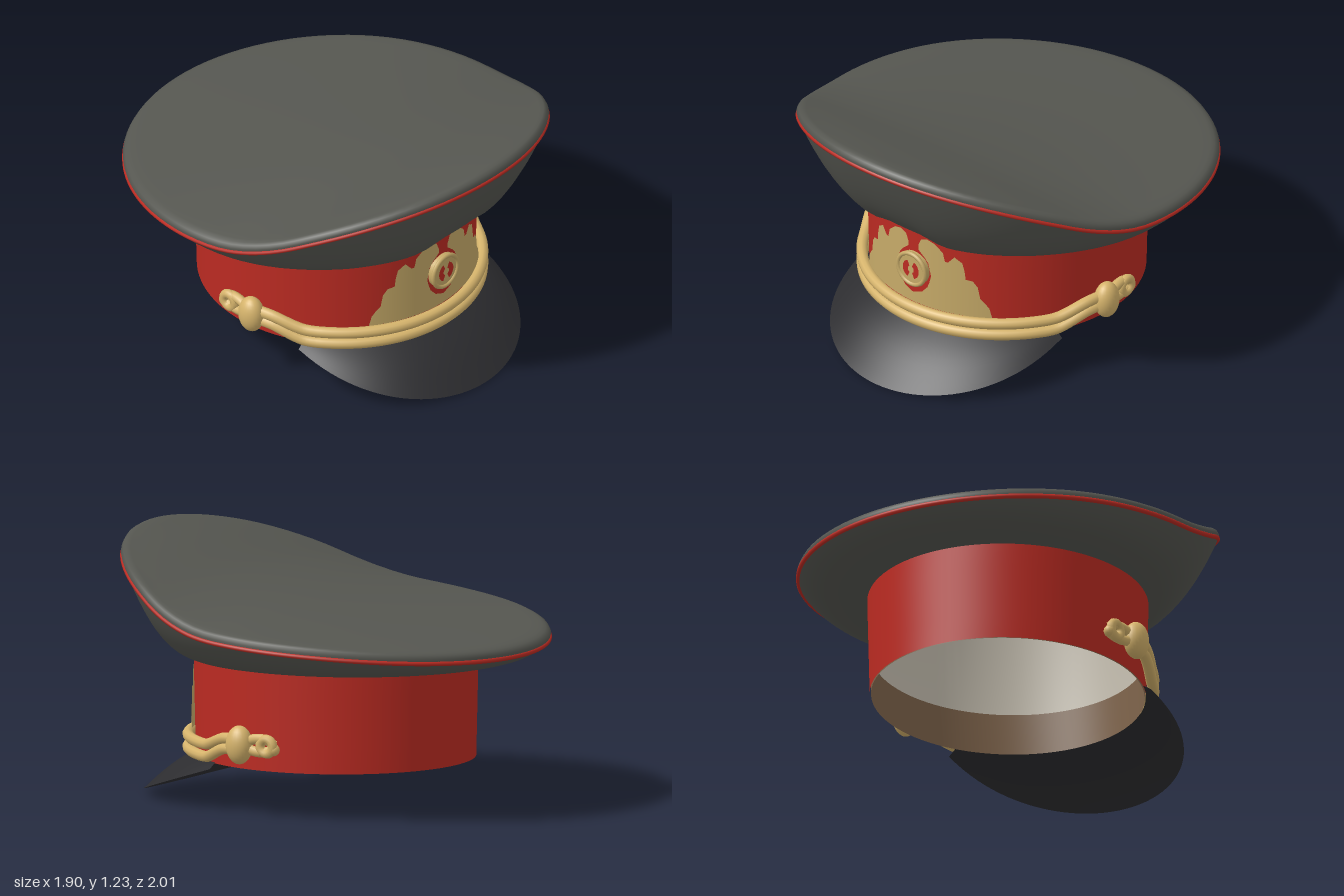
import * as THREE from 'three';
import { mergeVertices } from 'three/addons/utils/BufferGeometryUtils.js';

const mat = (name, color, side = THREE.FrontSide) => {
  const m = new THREE.MeshStandardMaterial({ color, side });
  m.name = name;
  return m;
};

// Smooth curve y(x) through a few points sorted by x
function curve(p) {
  const slope = (i) => {
    const a = p[Math.max(i - 1, 0)], b = p[Math.min(i + 1, p.length - 1)];
    return (b[1] - a[1]) / (b[0] - a[0]);
  };
  return (x) => {
    if (x <= p[0][0]) return p[0][1];
    if (x >= p[p.length - 1][0]) return p[p.length - 1][1];
    let i = 0;
    while (x > p[i + 1][0]) i++;
    const h = p[i + 1][0] - p[i][0], t = (x - p[i][0]) / h;
    const t2 = t * t, t3 = t2 * t;
    return (2 * t3 - 3 * t2 + 1) * p[i][1] + (t3 - 2 * t2 + t) * h * slope(i)
      + (3 * t2 - 2 * t3) * p[i + 1][1] + (t3 - t2) * h * slope(i + 1);
  };
}

// Straight-line version, for jagged outlines
function jagged(p) {
  return (x) => {
    let i = 0;
    while (i < p.length - 2 && x > p[i + 1][0]) i++;
    const t = THREE.MathUtils.clamp((x - p[i][0]) / (p[i + 1][0] - p[i][0]), 0, 1);
    return p[i][1] + t * (p[i + 1][1] - p[i][1]);
  };
}

// Smooth surface over a grid of points f(i, j)
function grid(nu, nv, f) {
  const pos = [], index = [];
  for (let j = 0; j <= nv; j++) for (let i = 0; i <= nu; i++) pos.push(...f(i, j));
  for (let j = 0; j < nv; j++) for (let i = 0; i < nu; i++) {
    const a = j * (nu + 1) + i, d = a + nu + 1;
    index.push(a, a + 1, d + 1, a, d + 1, d);
  }
  let g = new THREE.BufferGeometry();
  g.setAttribute('position', new THREE.Float32BufferAttribute(pos, 3));
  g.setIndex(index);
  g = mergeVertices(g, 1e-5);
  g.computeVertexNormals();
  return g;
}

const RX = 0.945, RZ = 1, SEG = 96;
const angle = (i) => ((i % SEG) / SEG) * Math.PI * 2;
// Height of the rim, and of the top along its middle, from back to front
const pipeY = curve([[-1, 0.758], [-0.5, 0.803], [0, 0.842], [0.2, 0.868], [0.4, 0.93], [0.6, 1.022], [0.8, 1.11], [1, 1.19]]);
const midY = curve([[-1, 0.808], [-0.9, 0.822], [-0.4, 0.885], [0, 0.952], [0.4, 1.05], [0.75, 1.175], [0.96, 1.24]]);
const topY = (x, z) => {
  const xm2 = RX * RX * Math.max(1 - z * z, 1e-6);
  const k = Math.max(0, 1 - (x * x) / xm2);
  return THREE.MathUtils.lerp(pipeY(z) + 0.048, midY(z), k);
};
const bandTop = (a) => 0.69 + (Math.cos(a) > 0 ? 0.038 * Math.exp(-((Math.sin(a) / 0.24) ** 4)) : 0);

export function createModel() {
  const cap = new THREE.Group();
  cap.name = 'peakedCap';
  const cloth = mat('greyCloth', 0x565751);
  const red = mat('redCloth', 0xbc2b22);
  const gold = mat('goldCord', 0xd6b46c);
  const foil = mat('goldEmbroidery', 0xc6aa68, THREE.DoubleSide);
  const black = mat('blackVisor', 0x2c2c2f, THREE.DoubleSide);
  const brown = mat('brownLeather', 0x80654c, THREE.DoubleSide);
  const pale = mat('paleLining', 0xc9c2b3, THREE.DoubleSide);
  const add = (name, geo, m, parent = cap) => {
    const mesh = new THREE.Mesh(geo, m);
    mesh.name = name;
    parent.add(mesh);
    return mesh;
  };

  // Crown: flared underside, rounded rim, swept top
  const UNDER = 16, TOP = 20;
  const rim = [[1, 0.02], [0.99, 0.038], [0.975, 0.046]];
  add('crown', grid(SEG, UNDER + rim.length + TOP, (i, j) => {
    const a = angle(i), s = Math.sin(a), c = Math.cos(a);
    if (j <= UNDER) {
      const r = 1 - (1 - j / UNDER) ** 2;
      const h = r ** (c > 0 ? 2.9 - 1.1 * c : 2.9 - 1.6 * c);
      const y0 = bandTop(a);
      return [s * THREE.MathUtils.lerp(0.633, RX * 0.995, r), y0 + (pipeY(c) - y0) * h, c * THREE.MathUtils.lerp(0.658, RZ * 0.995, r)];
    }
    const k = j - UNDER - 1;
    if (k < rim.length) return [RX * rim[k][0] * s, pipeY(c) + rim[k][1], RZ * rim[k][0] * c];
    const q = 0.955 * (1 - (k - rim.length + 1 - 1) / (TOP - 1));
    return [RX * q * s, topY(RX * q * s, q * c), RZ * q * c];
  }), cloth);

  // Red piping along the rim
  const pipePts = Array.from({ length: 64 }, (_, i) => {
    const a = (i / 64) * Math.PI * 2, c = Math.cos(a);
    return new THREE.Vector3(RX * 0.993 * Math.sin(a), pipeY(c), RZ * 0.993 * c);
  });
  add('piping', new THREE.TubeGeometry(new THREE.CatmullRomCurve3(pipePts, true), 160, 0.011, 8, true), red);

  // Band, leather sweatband and lining
  add('band', grid(SEG, 4, (i, j) => {
    const a = angle(i), t = j / 4;
    return [(0.622 + 0.012 * t) * Math.sin(a), 0.222 + (bandTop(a) + 0.005 - 0.222) * t, (0.65 + 0.01 * t) * Math.cos(a)];
  }), red);
  add('sweatband', grid(SEG, 1, (i, j) => [0.616 * Math.sin(angle(i)), 0.222 + 0.2 * j, 0.644 * Math.cos(angle(i))]), brown);
  add('lining', grid(SEG, 10, (i, j) => {
    const q = j < 1 ? 1 : 1 - (j - 1) / 9;
    const x = 0.614 * q * Math.sin(angle(i)), z = 0.642 * q * Math.cos(angle(i));
    return [x, j < 1 ? 0.42 : topY(x, z) - 0.03, z];
  }), pale);

  // Visor: from the band edge down to a wide curved lip
  add('visor', grid(48, 8, (i, j) => {
    const t = 1 - j / 8, k = (i / 48) * 2 - 1;
    const a = k * 1.08, b = k * Math.PI / 2;
    const u = Math.cos(b) ** 0.9;
    const inner = [0.62 * Math.sin(a), 0.228, 0.648 * Math.cos(a)];
    const outer = [0.59 * Math.sin(b), 0.2 - 0.195 * u, 0.31 + 0.62 * u];
    const p = inner.map((v, n) => v + (outer[n] - v) * t);
    p[1] += 0.02 * Math.sin(Math.PI * t) * u;
    return p;
  }), black);

  // Two chin cords, rising to the side buttons
  const cordPath = (low, high) => new THREE.CatmullRomCurve3(Array.from({ length: 41 }, (_, i) => {
    const a = (i / 20 - 1) * 1.43;
    const k = THREE.MathUtils.smoothstep(Math.abs(a), 1.02, 1.34);
    const off = 0.034 + 0.014 * k;
    return new THREE.Vector3((0.622 + off) * Math.sin(a), low + (high - low) * k, (0.652 + off) * Math.cos(a));
  }));
  add('upperCord', new THREE.TubeGeometry(cordPath(0.31, 0.365), 120, 0.026, 10), gold);
  add('lowerCord', new THREE.TubeGeometry(cordPath(0.252, 0.318), 120, 0.026, 10), gold);

  // Side buttons with the knotted cord ends
  for (const side of [1, -1]) {
    const g = new THREE.Group();
    g.name = side > 0 ? 'leftButton' : 'rightButton';
    cap.add(g);
    const button = add('button', new THREE.SphereGeometry(1, 24, 16), gold, g);
    button.scale.set(0.055, 0.09, 0.065);
    button.position.set(side * 0.675, 0.342, 0.095);
    for (const dy of [-0.028, 0.028]) {
      const path = new THREE.CatmullRomCurve3([[0.67, 0.345, 0.09], [0.665, 0.345 + dy, 0.02], [0.66, 0.345 + dy, -0.04], [0.652, 0.34 + dy * 0.3, -0.085]]
        .map(([x, y, z]) => new THREE.Vector3(side * x, y, z)));
      add('cordEnd', new THREE.TubeGeometry(path, 16, 0.024, 8), gold, g);
    }
    const knot = add('knot', new THREE.TorusGeometry(0.034, 0.022, 10, 20), gold, g);
    knot.rotation.y = Math.PI / 2;
    knot.position.set(side * 0.668, 0.345, -0.048);
    const tip = add('cordTip', new THREE.SphereGeometry(0.028, 14, 10), gold, g);
    tip.position.set(side * 0.66, 0.33, -0.083);
  }

  // Embroidered leaf wreath, wrapped on the band
  const leafTop = jagged([[0.03, 0.645], [0.045, 0.68], [0.08, 0.692], [0.12, 0.68], [0.16, 0.645], [0.17, 0.6], [0.185, 0.6], [0.215, 0.635],
    [0.25, 0.61], [0.262, 0.56], [0.265, 0.525], [0.295, 0.52], [0.315, 0.49], [0.325, 0.43], [0.345, 0.405], [0.36, 0.38], [0.37, 0.335]]);
  const gapLow = jagged([[0, 0.38], [0.05, 0.4], [0.085, 0.44], [0.1, 0.5]]);
  const gapHigh = jagged([[0.03, 0.62], [0.065, 0.59], [0.085, 0.565], [0.1, 0.5]]);
  const plate = (side, x0, x1, n, lo, hi) => grid(n, 1, (i, j) => {
    const x = x0 + ((x1 - x0) * i) / n;
    return [side * x, (side > 0 ? j : 1 - j) ? hi(x) : lo(x), 0.668 * Math.sqrt(1 - (x / 0.643) ** 2)];
  });
  for (const side of [1, -1]) {
    add('wreathBase', plate(side, 0, 0.1, 10, () => 0.33, gapLow), foil);
    add('wreathLeaves', plate(side, 0.1, 0.37, 54, () => 0.33, leafTop), foil);
    add('wreathTip', plate(side, 0.03, 0.1, 14, gapHigh, leafTop), foil);
  }

  // Round cockade with a raised rim and red inlay
  const disc = add('cockade', new THREE.CylinderGeometry(0.085, 0.085, 0.03, 32), foil);
  disc.rotation.x = Math.PI / 2;
  disc.position.set(0, 0.51, 0.668);
  add('cockadeRim', new THREE.TorusGeometry(0.08, 0.011, 8, 32), foil).position.set(0, 0.51, 0.68);
  for (const side of [1, -1]) {
    const inlay = add('cockadeInlay', new THREE.RingGeometry(0.018, 0.048, 16, 1, side > 0 ? -1.15 : Math.PI - 1.15, 2.3), red);
    inlay.position.set(0, 0.51, 0.686);
  }
  return cap;
}
